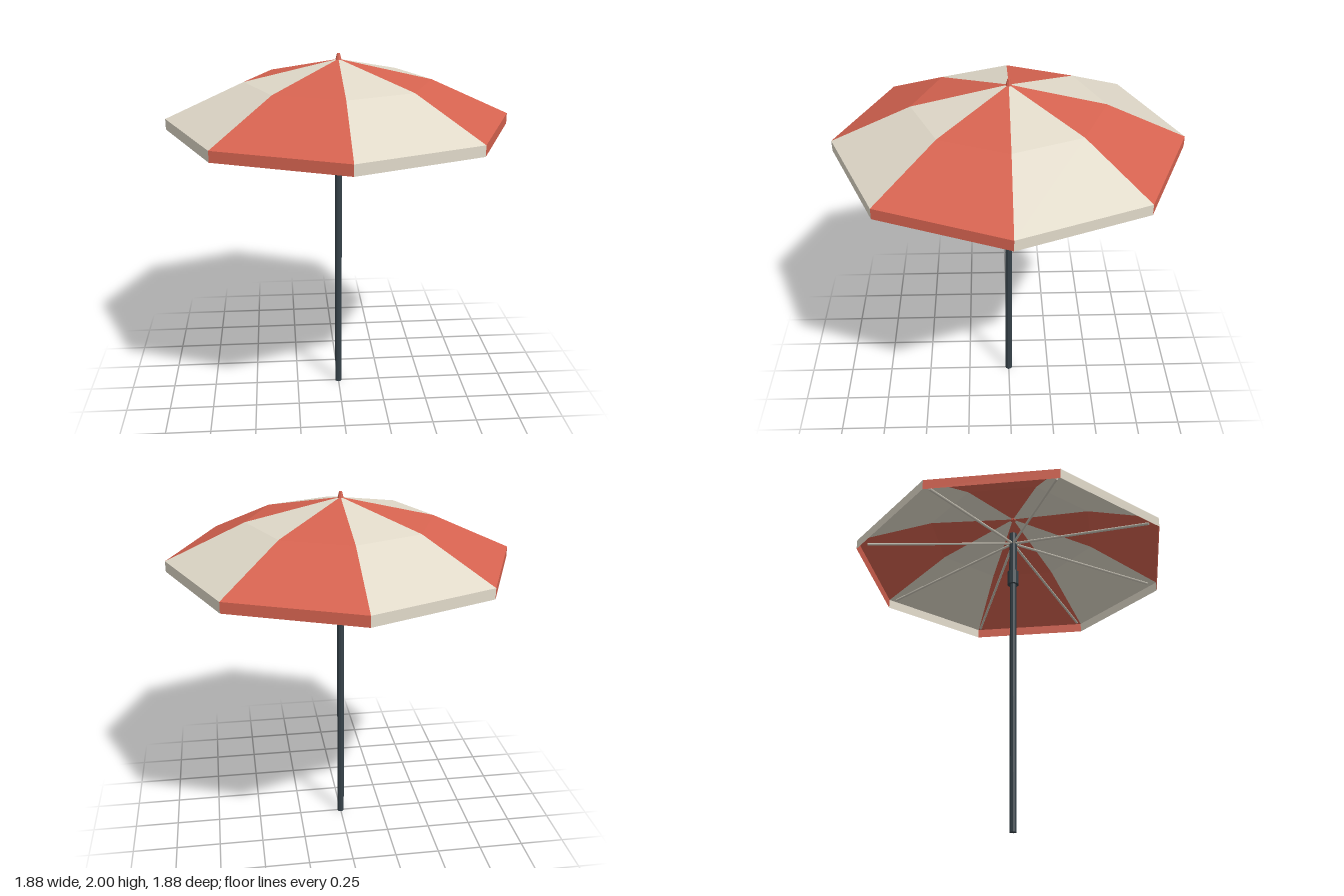
import * as THREE from 'three';

const mat = (name, color) => {
  const m = new THREE.MeshStandardMaterial({ color });
  m.name = name;
  return m;
};

export function createModel() {
  const red = mat('red fabric', 0xd66350);
  const cream = mat('cream fabric', 0xe0d9c9);
  const dark = mat('dark metal', 0x364249);
  const ribGrey = mat('pale rib', 0xc4bfb2);
  red.side = cream.side = THREE.DoubleSide;

  const model = new THREE.Group();
  model.name = 'parasol';
  const add = (name, geometry, material, parent = model) => {
    const mesh = new THREE.Mesh(geometry, material);
    mesh.name = name;
    parent.add(mesh);
    return mesh;
  };

  // Upright faceted cylinder between two heights
  const post = (name, r0, r1, y0, y1, sides, material) => {
    const g = new THREE.CylinderGeometry(r1, r0, y1 - y0, sides).toNonIndexed();
    g.translate(0, (y0 + y1) / 2, 0);
    g.computeVertexNormals();
    return add(name, g, material);
  };
  post('pole', 0.02, 0.02, 0, 1.86, 10, dark);
  post('upperSleeve', 0.024, 0.024, 1.58, 1.86, 10, dark);
  post('runner', 0.034, 0.034, 1.5, 1.588, 10, dark);
  post('finial', 0.018, 0.008, 1.96, 2.0, 8, red);

  // Canopy: eight gores, each folded at the middle ring and hanging as a valance
  const profile = [[0, 1.97], [0.51, 1.853], [0.94, 1.658], [0.94, 1.6]];
  const canopy = new THREE.Group();
  canopy.name = 'canopy';
  model.add(canopy);
  const ribs = new THREE.Group();
  ribs.name = 'ribs';
  model.add(ribs);

  const at = (angle, [r, y]) => new THREE.Vector3(r * Math.cos(angle), y, r * Math.sin(angle));
  for (let i = 0; i < 8; i++) {
    const a = (i * Math.PI) / 4;
    const b = a + Math.PI / 4;
    const points = [];
    for (let j = 0; j < profile.length - 1; j++) {
      const [p, q] = [profile[j], profile[j + 1]];
      points.push(at(a, p), at(b, q), at(a, q));
      if (j > 0) points.push(at(a, p), at(b, p), at(b, q));
    }
    const gore = new THREE.BufferGeometry().setFromPoints(points);
    gore.computeVertexNormals();
    add('gore' + (i + 1), gore, i % 2 ? cream : red, canopy);

    // Straight rib from the hub out to the corner
    const path = new THREE.LineCurve3(at(a, [0.01, 1.79]), at(a, [0.88, 1.64]));
    const length = path.getLength();
    const rib = add('rib' + (i + 1), new THREE.CylinderGeometry(0.008, 0.008, length, 6), ribGrey, ribs);
    rib.position.copy(path.getPoint(0.5));
    rib.quaternion.setFromUnitVectors(new THREE.Vector3(0, 1, 0), path.getTangent(0));
  }
  return model;
}
